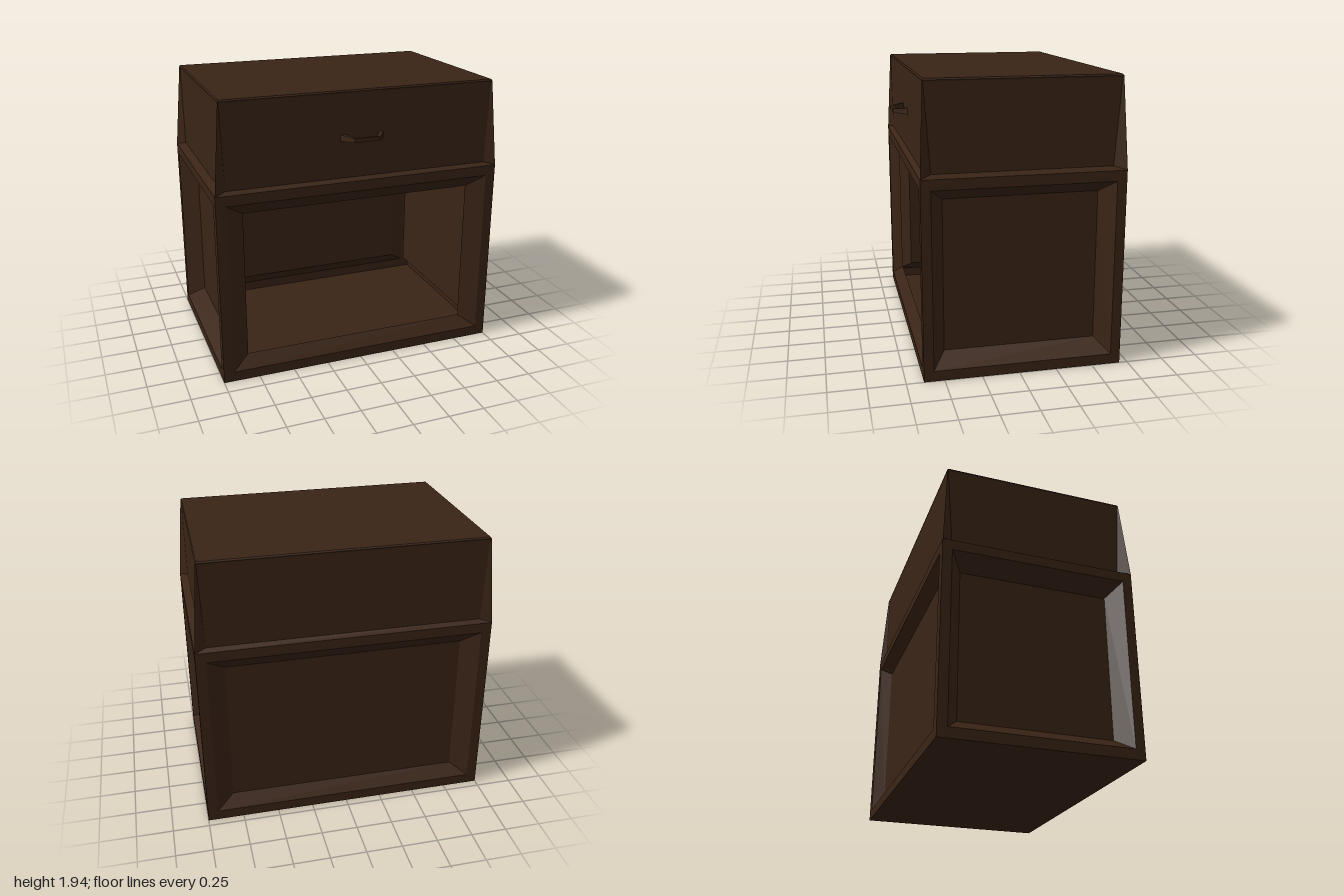
import * as THREE from 'three';

const wood = new THREE.MeshStandardMaterial({
  color: 0x3a2416, flatShading: true, side: THREE.DoubleSide,
});

// Flat-shaded skin over four-cornered loops, with optional end caps.
function loft(name, loops, capLast = true, capFirst = false) {
  const pos = [];
  const quad = (a, b, c, d) => [a, b, c, a, c, d].forEach(p => pos.push(...p));
  for (let i = 0; i + 1 < loops.length; i++) {
    const p = loops[i], q = loops[i + 1];
    for (let k = 0; k < 4; k++) {
      const n = (k + 1) % 4;
      quad(p[k], p[n], q[n], q[k]);
    }
  }
  if (capLast) quad(...loops[loops.length - 1]);
  if (capFirst) quad(...[...loops[0]].reverse());
  const g = new THREE.BufferGeometry();
  g.setAttribute('position', new THREE.Float32BufferAttribute(pos, 3));
  g.computeVertexNormals();
  const mesh = new THREE.Mesh(g, wood);
  mesh.name = name;
  return mesh;
}

// Upright four-cornered loop: half width and z at the bottom and at the top.
const upright = (y0, y1, w0, w1, z0, z1 = z0) =>
  [[-w0, y0, z0], [w0, y0, z0], [w1, y1, z1], [-w1, y1, z1]];

// Level rectangle, counter-clockwise from above.
const level = (y, w, d) => [[-w, y, d], [w, y, d], [w, y, -d], [-w, y, -d]];

export function createModel() {
  const model = new THREE.Group();
  model.name = 'cabinet';
  const carcass = new THREE.Group();
  carcass.name = 'carcass';
  carcass.position.z = -0.03;
  model.add(carcass);

  const SEAM = 1.335, TOP = 1.93;
  const sides = [
    { name: 'front', angle: 0, long: true, open: true },
    { name: 'left', angle: Math.PI / 2, long: false },
    { name: 'back', angle: Math.PI, long: true },
    { name: 'right', angle: -Math.PI / 2, long: false },
  ];

  for (const { name, angle, long, open } of sides) {
    const w = long ? 1 : 0.665;          // half width of this face
    const d = long ? 0.665 : 1;          // its distance from the centre
    const rim = w - (long ? 0.07 : 0.065);
    const inner = long ? 0.81 : 0.513;
    const sunk = d - (long ? 0.07 : 0.12);

    // Lower frame with bevelled recess; the front one is left open
    const lower = loft(name + 'Frame', [
      upright(0, SEAM, w, w, d),
      upright(0.07, 1.265, rim, rim, d),
      upright(0.155, 1.18, inner, inner, sunk),
    ], !open);

    // Upper wall: flared corner edges around a nearly vertical panel
    const tw = w - (long ? 0.05 : 0.03), td = d - (long ? 0.03 : 0.05);
    const upper = loft(name + 'UpperPanel', [
      upright(SEAM, TOP, w, tw, d, td),
      upright(SEAM + 0.02, TOP - 0.01, w - 0.075, tw - 0.006, td - 0.005),
    ]);

    lower.rotation.y = upper.rotation.y = angle;
    carcass.add(lower, upper);
  }

  // Bottom board and softly edged top
  const bottom = loft('bottomBoard', [level(0, 1, 0.665).reverse()]);
  const top = loft('topBoard', [level(TOP, 0.95, 0.635), level(1.94, 0.943, 0.628)]);
  carcass.add(bottom, top);

  // Pull handle: sections as outer x, outer z, inner x, inner z, half height
  const half = [
    [0.155, 0.595, 0.115, 0.595, 0.022],
    [0.13, 0.63, 0.105, 0.63, 0.02],
    [0.087, 0.695, 0.078, 0.675, 0.014],
  ];
  const sections = [
    ...half.map(([ox, ...r]) => [-ox, r[0], -r[1], r[2], r[3]]),
    ...[...half].reverse(),
  ];
  const handle = loft('handle', sections.map(([ox, oz, ix, iz, h]) => [
    [ox, -h, oz], [ox, h, oz], [ix, h, iz], [ix, -h, iz],
  ]).map(l => l.reverse()), true, true);
  handle.position.y = 1.628;
  model.add(handle);

  return model;
}
